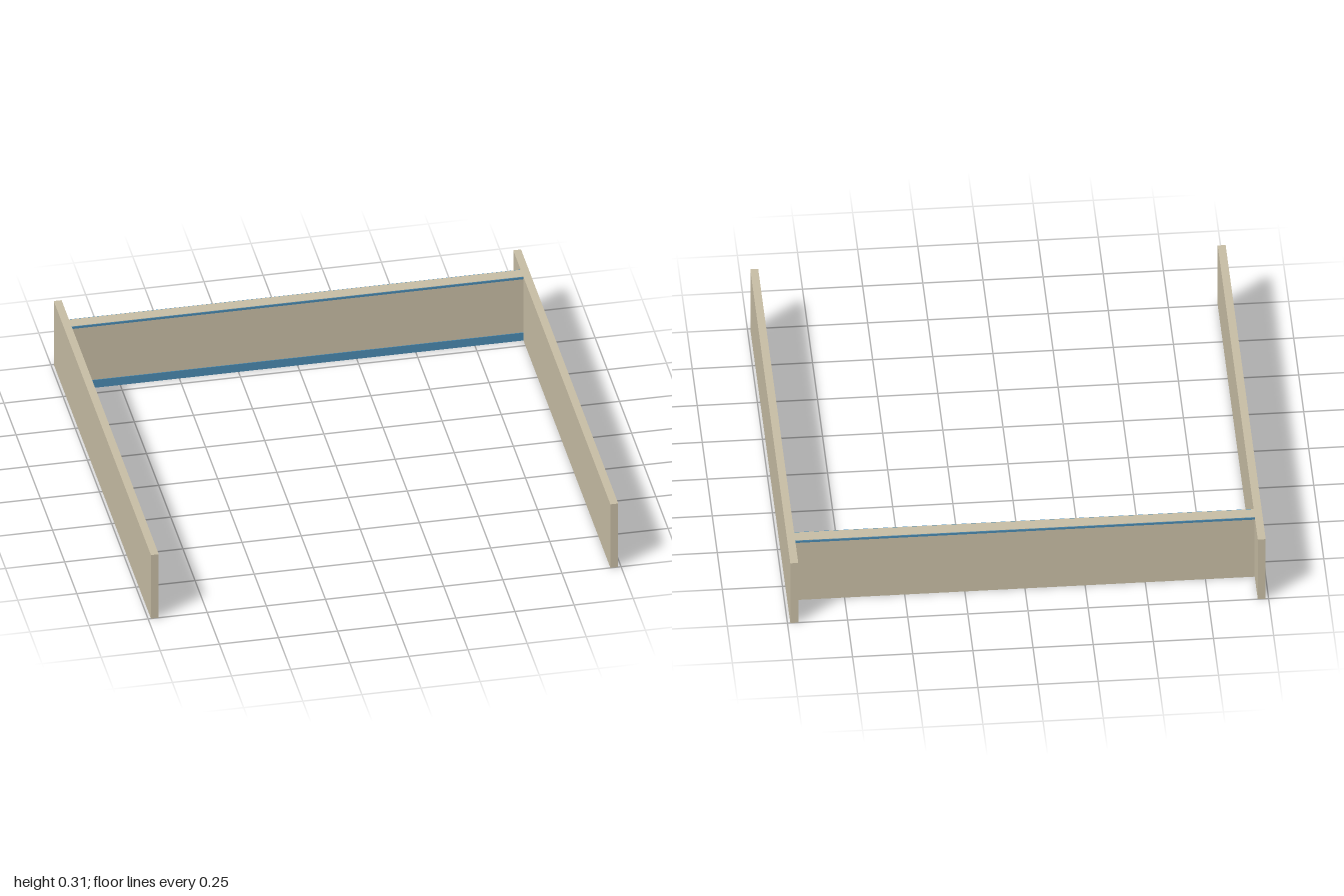
import * as THREE from 'three';

export function createModel() {
  const model = new THREE.Group();
  model.name = 'openFrame';
  const tan = new THREE.MeshStandardMaterial({ color: 0xc8bea5 });
  tan.name = 'tan board';
  const blue = new THREE.MeshStandardMaterial({ color: 0x4a8ab2 });
  blue.name = 'blue trim';

  // Box given by its lower and upper corners
  function box(name, material, min, max) {
    const size = max.map((v, i) => v - min[i]);
    const mesh = new THREE.Mesh(new THREE.BoxGeometry(...size), material);
    mesh.position.set(...max.map((v, i) => (v + min[i]) / 2));
    mesh.name = name;
    model.add(mesh);
  }

  const height = 0.312, inner = 0.955, outer = 0.988;
  const back = -0.85, front = -0.79, trim = 0.003;

  // Long side boards
  box('leftBoard', tan, [inner, 0, -1], [outer, height, 1]);
  box('rightBoard', tan, [-outer, 0, -1], [-inner, height, 1]);

  // Cross board between them, near the back
  box('crossBoard', tan, [-inner, 0, back + trim], [inner, height, front - trim]);

  // Thin trim strips on the cross board
  box('frontLowerTrim', blue, [-inner, 0, front - trim], [inner, 0.038, front]);
  box('frontUpperTrim', blue, [-inner, 0.301, front - trim], [inner, height - 0.001, front]);
  box('backUpperTrim', blue, [-inner, 0.301, back], [inner, height - 0.001, back + trim]);

  return model;
}
